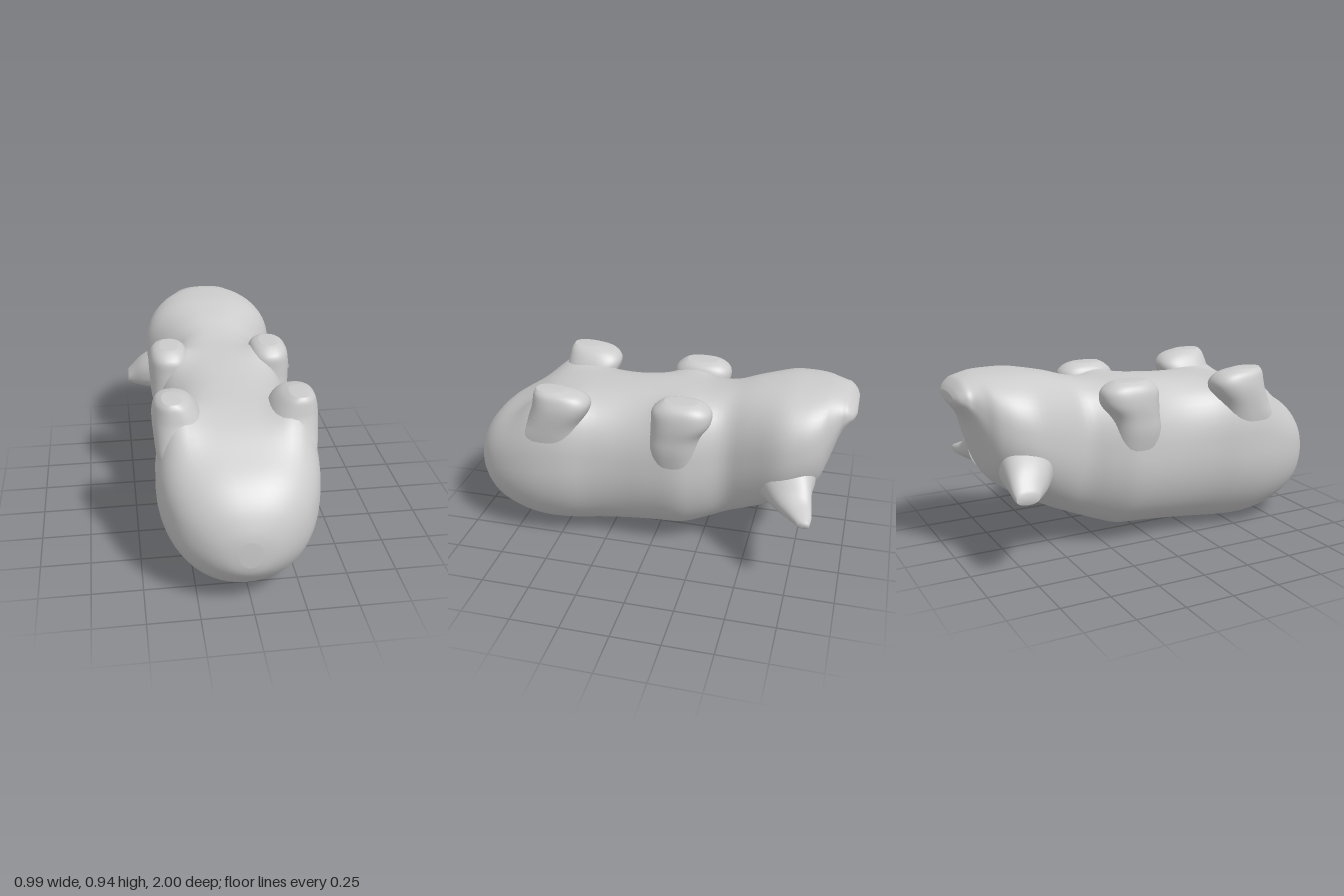
import * as THREE from 'three';

const material = new THREE.MeshStandardMaterial({ color: 0xcccccc });
const SIDES = 48;
const SHIFT = -0.02;

// Smoothly resample rows of section numbers.
function resample(rows, steps) {
  const out = [];
  for (let i = 0; i < rows.length - 1; i++) {
    const at = (k) => rows[Math.min(rows.length - 1, Math.max(0, k))];
    for (let s = 0; s < steps; s++) {
      const t = s / steps;
      out.push(rows[i].map((b, c) => {
        const a = at(i - 1)[c], d = at(i + 1)[c], e = at(i + 2)[c];
        return b + 0.5 * t * (d - a + t * (2 * a - 5 * b + 4 * d - e + t * (3 * (b - d) + e - a)));
      }));
    }
  }
  out.push(rows[rows.length - 1]);
  return out;
}

// Closed skin over a list of rings, each with its end caps at the ring centre.
function loft(name, rings) {
  const pos = [], idx = [], n = rings[0].length;
  rings.forEach((r) => r.forEach((p) => pos.push(p.x, p.y, p.z)));
  for (let i = 0; i < rings.length - 1; i++) {
    for (let j = 0; j < n; j++) {
      const k = (j + 1) % n, a = i * n, b = a + n;
      idx.push(a + j, a + k, b + j, a + k, b + k, b + j);
    }
  }
  [0, rings.length - 1].forEach((i) => {
    const c = new THREE.Vector3();
    rings[i].forEach((p) => c.addScaledVector(p, 1 / n));
    const ci = pos.length / 3;
    pos.push(c.x, c.y, c.z);
    for (let j = 0; j < n; j++) {
      const a = i * n + j, b = i * n + (j + 1) % n;
      if (i === 0) idx.push(ci, b, a); else idx.push(ci, a, b);
    }
  });
  // Turn the faces outward if the signed volume is negative.
  const v = (i) => new THREE.Vector3().fromArray(pos, i * 3);
  let volume = 0;
  for (let i = 0; i < idx.length; i += 3) volume += v(idx[i]).dot(v(idx[i + 1]).cross(v(idx[i + 2])));
  if (volume < 0) idx.reverse();
  const geo = new THREE.BufferGeometry();
  geo.setAttribute('position', new THREE.Float32BufferAttribute(pos, 3));
  geo.setIndex(idx);
  geo.computeVertexNormals();
  const mesh = new THREE.Mesh(geo, material);
  mesh.name = name;
  return mesh;
}

// Unit superellipse points with separate squareness above and below.
function outline(upper, lower = upper) {
  return Array.from({ length: SIDES }, (_, j) => {
    const a = (j / SIDES) * Math.PI * 2, c = Math.cos(a), s = Math.sin(a);
    const e = 2 / (s > 0 ? upper : lower);
    return [Math.sign(c) * Math.abs(c) ** e, Math.sign(s) * Math.abs(s) ** e];
  });
}

// Torso and head: z, bottom y, top y, half width, height of widest point, squareness above.
const BODY = [
  [1.0, 0.27, 0.4, 0.05, 0.34, 2], [0.985, 0.22, 0.46, 0.13, 0.35, 2.1], [0.94, 0.16, 0.55, 0.22, 0.37, 2.3],
  [0.86, 0.085, 0.635, 0.305, 0.39, 2.5], [0.74, 0.03, 0.705, 0.365, 0.42, 2.8], [0.6, 0.002, 0.775, 0.392, 0.44, 3],
  [0.45, 0.006, 0.81, 0.385, 0.45, 3], [0.3, 0.02, 0.825, 0.35, 0.46, 2.7], [0.15, 0.035, 0.835, 0.335, 0.47, 2.5],
  [0, 0.05, 0.845, 0.34, 0.48, 2.6], [-0.15, 0.063, 0.85, 0.345, 0.49, 2.8], [-0.26, 0.1, 0.855, 0.31, 0.5, 2.6],
  [-0.38, 0.15, 0.875, 0.265, 0.53, 2.4], [-0.5, 0.205, 0.91, 0.3, 0.57, 2.4], [-0.65, 0.285, 0.938, 0.355, 0.63, 2.5],
  [-0.76, 0.355, 0.943, 0.345, 0.67, 2.5], [-0.84, 0.43, 0.942, 0.3, 0.71, 2.5], [-0.885, 0.55, 0.938, 0.24, 0.76, 2.5],
  [-0.925, 0.69, 0.929, 0.195, 0.81, 2.5], [-0.955, 0.75, 0.916, 0.18, 0.835, 2.5], [-0.985, 0.79, 0.885, 0.15, 0.84, 2.3],
  [-1.0, 0.815, 0.86, 0.1, 0.84, 2],
];

// Swellings where the legs grow out of the belly: x, z, lift, spread in x, spread in z.
const SWELLS = [[0.3, 0.53, 0.1, 0.1, 0.15], [0.27, -0.13, 0.07, 0.09, 0.11]];
const swell = (x, z) => SWELLS.reduce((sum, [sx, sz, lift, wx, wz]) =>
  sum + lift * Math.exp(-(((Math.abs(x) - sx) / wx) ** 2) - ((z - sz) / wz) ** 2), 0);

// Legs: y, x, z, half width, half depth.
const HIND_LEG = [
  [0.4, 0.22, 0.58, 0.13, 0.18], [0.6, 0.245, 0.54, 0.135, 0.17], [0.7, 0.26, 0.5, 0.13, 0.145],
  [0.78, 0.275, 0.46, 0.12, 0.148], [0.83, 0.285, 0.45, 0.105, 0.145], [0.87, 0.295, 0.465, 0.08, 0.12],
  [0.892, 0.3, 0.5, 0.045, 0.07],
];
const FORE_LEG = [
  [0.4, 0.19, -0.12, 0.12, 0.12], [0.6, 0.235, -0.12, 0.125, 0.13], [0.7, 0.25, -0.135, 0.118, 0.13],
  [0.77, 0.262, -0.16, 0.11, 0.148], [0.83, 0.265, -0.165, 0.1, 0.148], [0.865, 0.265, -0.165, 0.08, 0.115],
  [0.882, 0.265, -0.16, 0.045, 0.08],
];

// Ears: x, y, z, half height, half depth.
const LEFT_EAR = [
  [0.2, 0.52, -0.67, 0.17, 0.17], [0.29, 0.49, -0.705, 0.115, 0.125], [0.37, 0.447, -0.75, 0.06, 0.09],
  [0.44, 0.434, -0.79, 0.035, 0.058], [0.497, 0.427, -0.815, 0.018, 0.028],
];
const RIGHT_EAR = [
  [-0.22, 0.53, -0.67, 0.17, 0.16], [-0.33, 0.505, -0.715, 0.12, 0.125], [-0.41, 0.48, -0.745, 0.085, 0.1],
  [-0.46, 0.452, -0.77, 0.055, 0.075], [-0.497, 0.436, -0.785, 0.027, 0.055],
];

export function createModel() {
  const group = new THREE.Group();
  group.name = 'pigOnItsBack';

  group.add(loft('bodyAndHead', resample(BODY, 4).map(([z, low, high, w, mid, square]) =>
    outline(square, 2.05).map(([u, v]) => {
      const y = mid + v * (v > 0 ? high - mid : mid - low);
      return new THREE.Vector3(SHIFT + u * w, y + Math.max(0, v) * swell(u * w, z), z);
    }))));

  const legShape = outline(2.4);
  for (const [name, rows] of [['HindLeg', HIND_LEG], ['ForeLeg', FORE_LEG]]) {
    for (const side of [1, -1]) {
      group.add(loft((side > 0 ? 'left' : 'right') + name, resample(rows, 4).map(([y, x, z, rx, rz]) =>
        legShape.map(([u, v]) => new THREE.Vector3(SHIFT + side * (x + u * rx), y, z + v * rz)))));
    }
  }

  // The ears taper to blunt tips and sweep toward the back of the head.
  const earShape = outline(2.3);
  for (const [name, rows] of [['leftEar', LEFT_EAR], ['rightEar', RIGHT_EAR]]) {
    group.add(loft(name, resample(rows, 3).map(([x, y, z, ry, rz]) =>
      earShape.map(([u, v]) => new THREE.Vector3(x, y + v * ry, z + u * rz)))));
  }
  return group;
}
